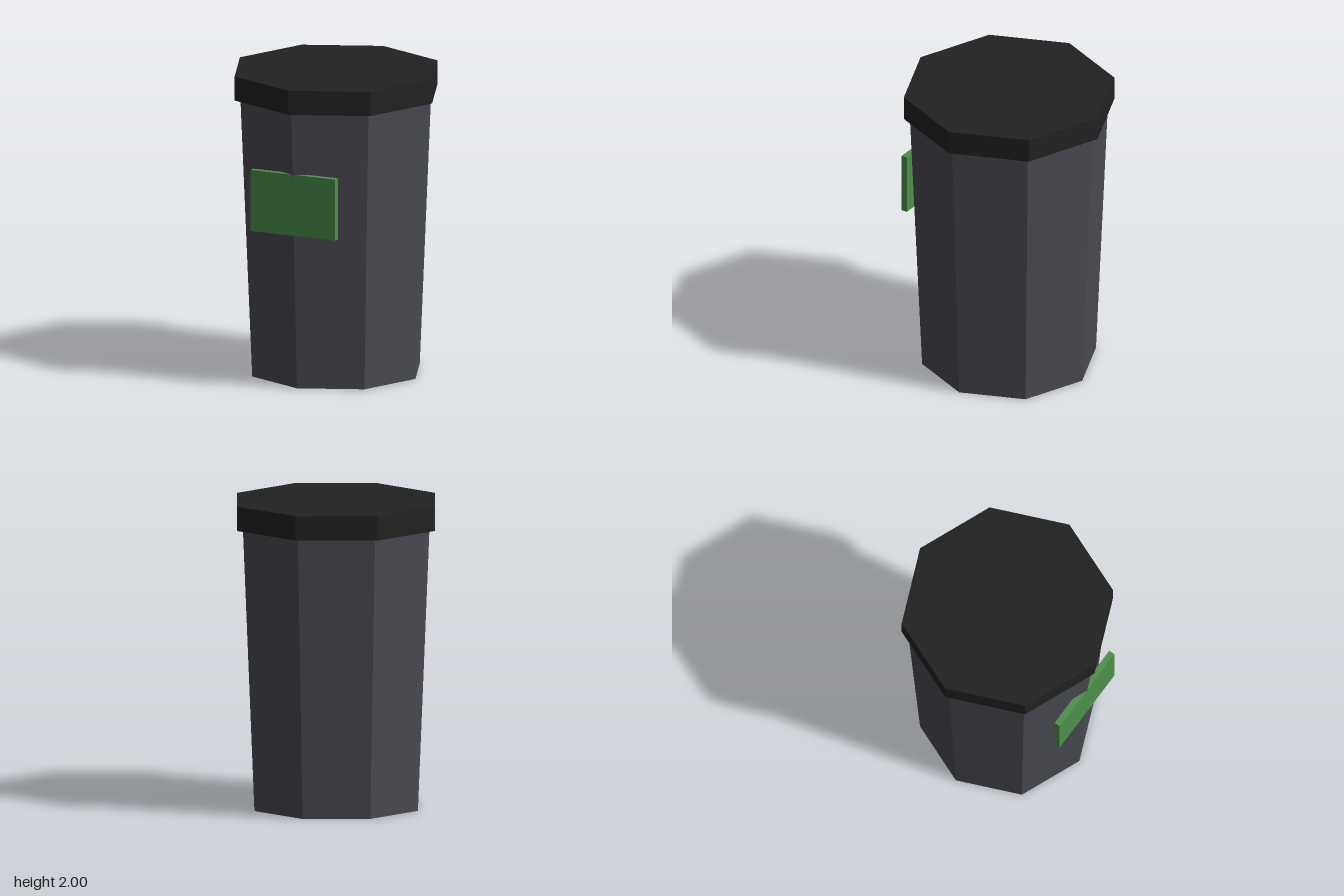
import * as THREE from 'three';

const SIDES = 8;

function paint(name, color, flatShading = true) {
  const material = new THREE.MeshStandardMaterial({ color, flatShading });
  material.name = name;
  return material;
}

export function createModel() {
  const group = new THREE.Group();
  group.name = 'bin';

  const add = (name, geometry, material, y, z = 0) => {
    const mesh = new THREE.Mesh(geometry, material);
    mesh.name = name;
    mesh.position.set(0, y, z);
    group.add(mesh);
  };

  // Tapered octagonal body with a corner facing the front
  add('body', new THREE.CylinderGeometry(0.651, 0.571, 1.84, SIDES), paint('dark grey', 0x4a4a52), 0.92);

  // Overhanging straight-sided lid
  add('lid', new THREE.CylinderGeometry(0.691, 0.691, 0.16, SIDES), paint('black', 0x222222), 1.92);

  // Flat label panel, with the body corner just breaking through its top edge
  add('label', new THREE.BoxGeometry(0.608, 0.405, 0.04), paint('green', 0x4e8f4b), 1.2275, 0.611);

  return group;
}
